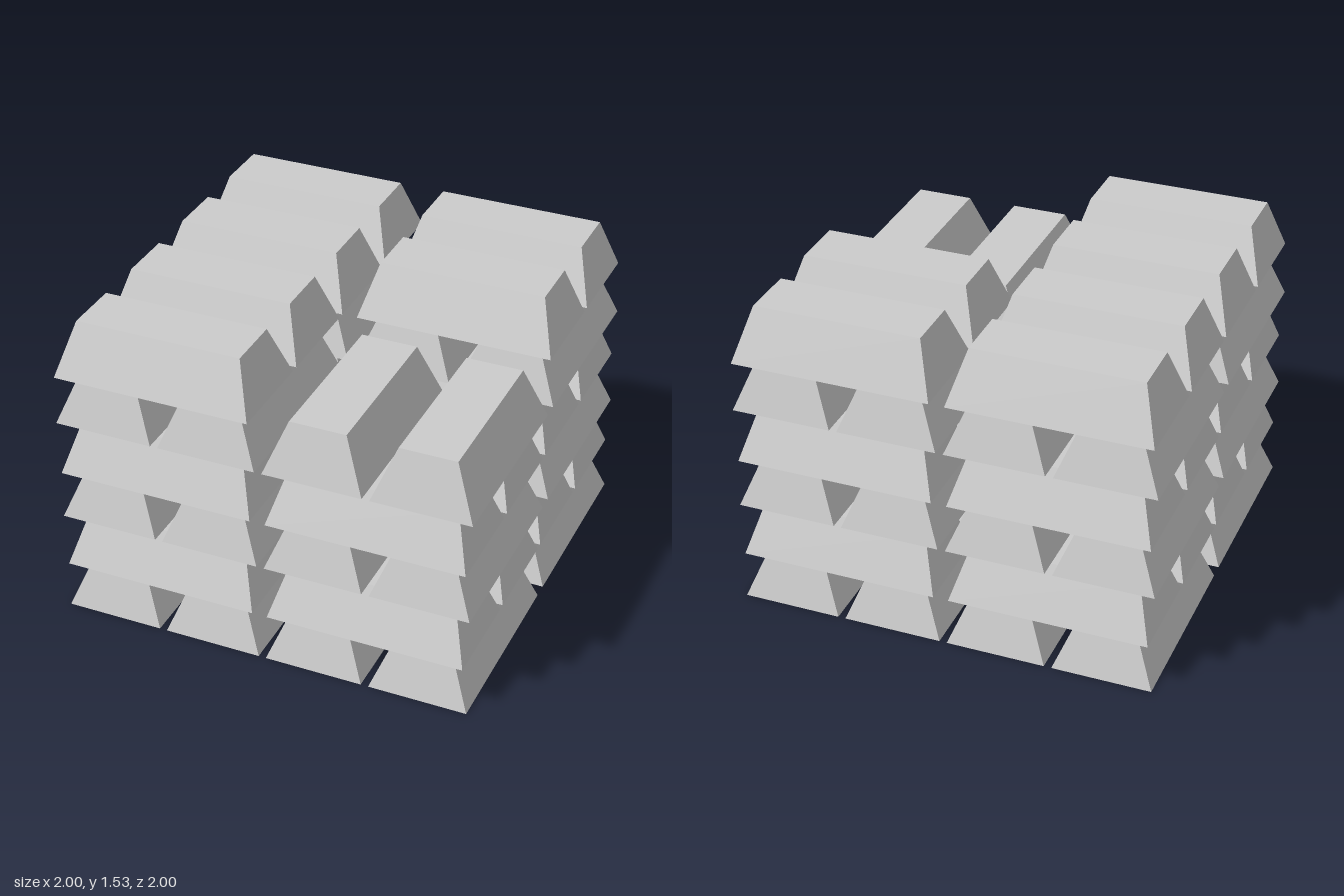
import * as THREE from 'three';

const LENGTH = 0.945, WIDTH = 0.473, HEIGHT = 0.2545;
const TOP_LENGTH = 0.795, TOP_WIDTH = 0.27;
const PITCH = 0.509; // spacing between neighbouring bars
const LAYERS = 6;

// Tapered bar lying along x, standing on y = 0
function barGeometry() {
  const geometry = new THREE.BoxGeometry(LENGTH, HEIGHT, WIDTH);
  geometry.translate(0, HEIGHT / 2, 0);
  const p = geometry.attributes.position;
  for (let i = 0; i < p.count; i++) {
    if (p.getY(i) > HEIGHT / 2) {
      p.setX(i, Math.sign(p.getX(i)) * TOP_LENGTH / 2);
      p.setZ(i, Math.sign(p.getZ(i)) * TOP_WIDTH / 2);
    }
  }
  geometry.computeVertexNormals();
  return geometry;
}

// Stack of bar pairs, each layer turned 90 degrees from the one below
function createStack(name, layers, geometry, material) {
  const stack = new THREE.Group();
  stack.name = name;
  for (let layer = 0; layer < layers; layer++) {
    const pair = new THREE.Group();
    pair.name = `layer${layer + 1}`;
    pair.position.y = layer * HEIGHT;
    if (layer % 2 === 0) pair.rotation.y = Math.PI / 2;
    for (const side of [-1, 1]) {
      const bar = new THREE.Mesh(geometry, material);
      bar.name = 'bar';
      bar.position.z = side * PITCH / 2;
      pair.add(bar);
    }
    stack.add(pair);
  }
  return stack;
}

export function createModel() {
  const model = new THREE.Group();
  model.name = 'barPile';
  const geometry = barGeometry();
  const material = new THREE.MeshStandardMaterial({ color: 0xcccccc, flatShading: true });

  // Four stacks; the front left one is a layer shorter
  for (const x of [-1, 1]) {
    for (const z of [-1, 1]) {
      const name = (z > 0 ? 'front' : 'back') + (x > 0 ? 'Left' : 'Right') + 'Stack';
      const layers = x > 0 && z > 0 ? LAYERS - 1 : LAYERS;
      const stack = createStack(name, layers, geometry, material);
      stack.position.set(x * PITCH, 0, z * PITCH);
      model.add(stack);
    }
  }
  return model;
}
